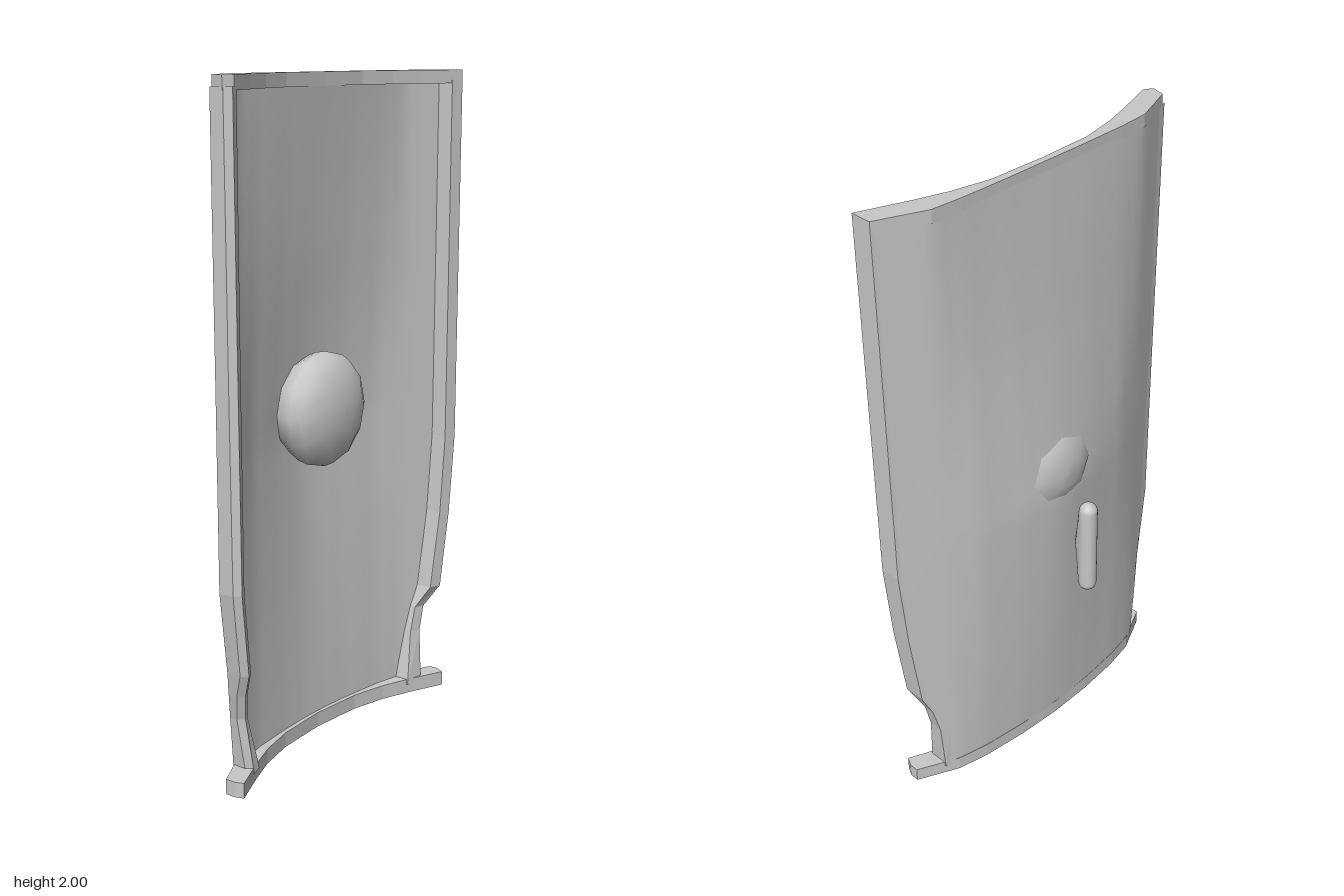
import * as THREE from 'three';

const steel = new THREE.MeshStandardMaterial({ color: 0xc8c8c8 });
steel.name = 'pale grey';

// Linear lookup in a sorted table of keys
function lerpAt(keys, values, k) {
  let i = 0;
  while (i < keys.length - 2 && k > keys[i + 1]) i++;
  const t = THREE.MathUtils.clamp((k - keys[i]) / (keys[i + 1] - keys[i]), 0, 1);
  return THREE.MathUtils.lerp(values[i], values[i + 1], t);
}

// Back surface of the curved plate: depth by distance from the centre line, at several heights
const X_KEYS = [0, 0.05, 0.15, 0.3, 0.4, 0.55];
const Y_KEYS = [0, 0.95, 1.13, 1.5, 2];
const DEPTHS = [
  [0, 0, 0.005, 0.02, 0.04, 0.1],
  [-0.048, -0.045, -0.03, 0.001, 0.038, 0.1],
  [-0.03, -0.029, -0.02, 0.004, 0.039, 0.1],
  [0, 0.001, 0.005, 0.02, 0.04, 0.1],
  [0.03, 0.03, 0.03, 0.033, 0.04, 0.1],
];
const backZ = (x, y) => lerpAt(Y_KEYS, DEPTHS.map((d) => lerpAt(X_KEYS, d, Math.abs(x))), y);

// Side edges from bottom to top: height, outer x, inner x, front z, back z
const LEFT_EDGE = [
  [0.03, 0.445, 0.385, 0.12, 0.055], [0.2, 0.455, 0.42, 0.105, 0.06], [0.28, 0.472, 0.44, 0.108, 0.07],
  [0.35, 0.504, 0.465, 0.15, 0.08], [0.6, 0.53, 0.495, 0.162, 0.092], [0.85, 0.548, 0.51, 0.167, 0.098],
  [1.97, 0.55, 0.512, 0.167, 0.1],
];
const RIGHT_EDGE = [
  [0.03, 0.438, 0.385, 0.12, 0.055], [0.2, 0.457, 0.42, 0.105, 0.06], [0.28, 0.474, 0.435, 0.12, 0.07],
  [0.35, 0.488, 0.45, 0.145, 0.078], [0.6, 0.529, 0.49, 0.157, 0.088], [1.2, 0.541, 0.5, 0.16, 0.094],
  [1.97, 0.552, 0.508, 0.162, 0.097],
];
const edgeX = (edge, y) => lerpAt(edge.map((e) => e[0]), edge.map((e) => e[1]), y);

// Surface through rows of points; rows run upwards, points run left to right seen from outside
function gridGeometry(rows) {
  const n = rows[0].length;
  const index = [];
  for (let i = 0; i < rows.length - 1; i++) {
    for (let j = 0; j < n - 1; j++) {
      const a = i * n + j;
      index.push(a, a + 1, a + n + 1, a, a + n + 1, a + n);
    }
  }
  const g = new THREE.BufferGeometry();
  g.setAttribute('position', new THREE.Float32BufferAttribute(rows.flat(2), 3));
  g.setIndex(index);
  g.computeVertexNormals();
  return g;
}

function add(group, name, geometry) {
  const mesh = new THREE.Mesh(geometry, steel);
  mesh.name = name;
  group.add(mesh);
  return mesh;
}

// One face of the plate, offset forwards from the back surface
function plateFace(offset, facesBack) {
  const rows = [];
  for (let i = 0; i <= 40; i++) {
    const y = 0.04 + (1.93 * i) / 40;
    const row = [];
    for (let j = 0; j <= 36; j++) {
      const u = j / 18 - 1;
      const x = u * (edgeX(u > 0 ? LEFT_EDGE : RIGHT_EDGE, y) - 0.008);
      row.push([x, y, backZ(x, y) + offset]);
    }
    rows.push(facesBack ? row.reverse() : row);
  }
  return gridGeometry(rows);
}

// Raised rim along one side, with its front corner cut back by the chamfer
function sideRim(edge, side, chamfer) {
  const rows = edge.map(([y, outer, inner, front, back]) => {
    const section = [
      [inner, front - 0.012], [outer - chamfer, front], [outer, front - 0.02],
      [outer, back], [inner, back - 0.012], [inner, front - 0.012],
    ].map(([x, z]) => [side * x, y, z]);
    return side > 0 ? section : section.reverse();
  });
  const g = gridGeometry(rows).toNonIndexed();
  g.computeVertexNormals();
  return g;
}

// Curved horizontal band closing the top or bottom: mirrored arcs joined by a tip at each end
function endBand(top, height, frontArc, leftTip, rightTip) {
  const mirror = (pts) => [...pts.slice(1).reverse().map(([x, z]) => [-x, z]), ...pts];
  const backArc = [0, 0.15, 0.3, 0.4].map((x) => [x, backZ(x, top) - 0.001]);
  const outline = [...mirror(backArc), ...leftTip, ...mirror(frontArc).reverse(), ...rightTip];
  const shape = new THREE.Shape(outline.map(([x, z]) => new THREE.Vector2(x, z)));
  const g = new THREE.ExtrudeGeometry(shape, { depth: height, bevelEnabled: false });
  return g.rotateX(Math.PI / 2).translate(0, top, 0);
}

export function createModel() {
  const model = new THREE.Group();
  model.name = 'curvedShield';

  add(model, 'plateFront', plateFace(0.022, false));
  add(model, 'plateBack', plateFace(0, true));
  add(model, 'leftRim', sideRim(LEFT_EDGE, 1, 0));
  add(model, 'rightRim', sideRim(RIGHT_EDGE, -1, 0.015));

  add(model, 'topRim', endBand(2, 0.04,
    [[0, 0.05], [0.18, 0.055], [0.3, 0.08], [0.4, 0.112]],
    [[0.55, 0.1], [0.55, 0.167]],
    [[-0.525, 0.157], [-0.553, 0.14], [-0.54, 0.095]]));
  add(model, 'bottomLip', endBand(0.046, 0.046,
    [[0, 0.03], [0.18, 0.042], [0.3, 0.07], [0.4, 0.108]],
    [[0.53, 0.1], [0.53, 0.13], [0.515, 0.158]],
    [[-0.515, 0.158], [-0.525, 0.13], [-0.525, 0.1]]));

  // Flattened dome on the front
  const profile = [[0.15, -0.02], [0.168, 0.02], [0.175, 0.055], [0.16, 0.085], [0.115, 0.115], [0.05, 0.129], [0, 0.13]];
  const boss = new THREE.LatheGeometry(profile.map(([r, h]) => new THREE.Vector2(r, h)), 12);
  add(model, 'boss', boss.rotateX(Math.PI / 2)).position.y = 1.02;

  // Shallow swelling behind the boss
  const swelling = new THREE.LatheGeometry(
    [[0.13, 0.02], [0.1, 0.042], [0.05, 0.057], [0, 0.06]].map(([r, h]) => new THREE.Vector2(r, h)), 8);
  add(model, 'bossBack', swelling.rotateX(-Math.PI / 2)).position.y = 1.02;

  // Grip behind the plate, drawn out to a ridge towards the plate
  const grip = new THREE.CapsuleGeometry(0.028, 0.27, 8, 24, 10);
  const p = grip.attributes.position;
  for (let i = 0; i < p.count; i++) {
    const z = p.getZ(i);
    if (z <= 0) continue;
    const swell = Math.max(0, 1 - Math.abs(p.getY(i)) / 0.15);
    p.setZ(i, z + 0.022 * swell * (z / 0.028) ** 3);
  }
  grip.computeVertexNormals();
  add(model, 'grip', grip).position.set(0, 0.79, -0.139);

  return model;
}
